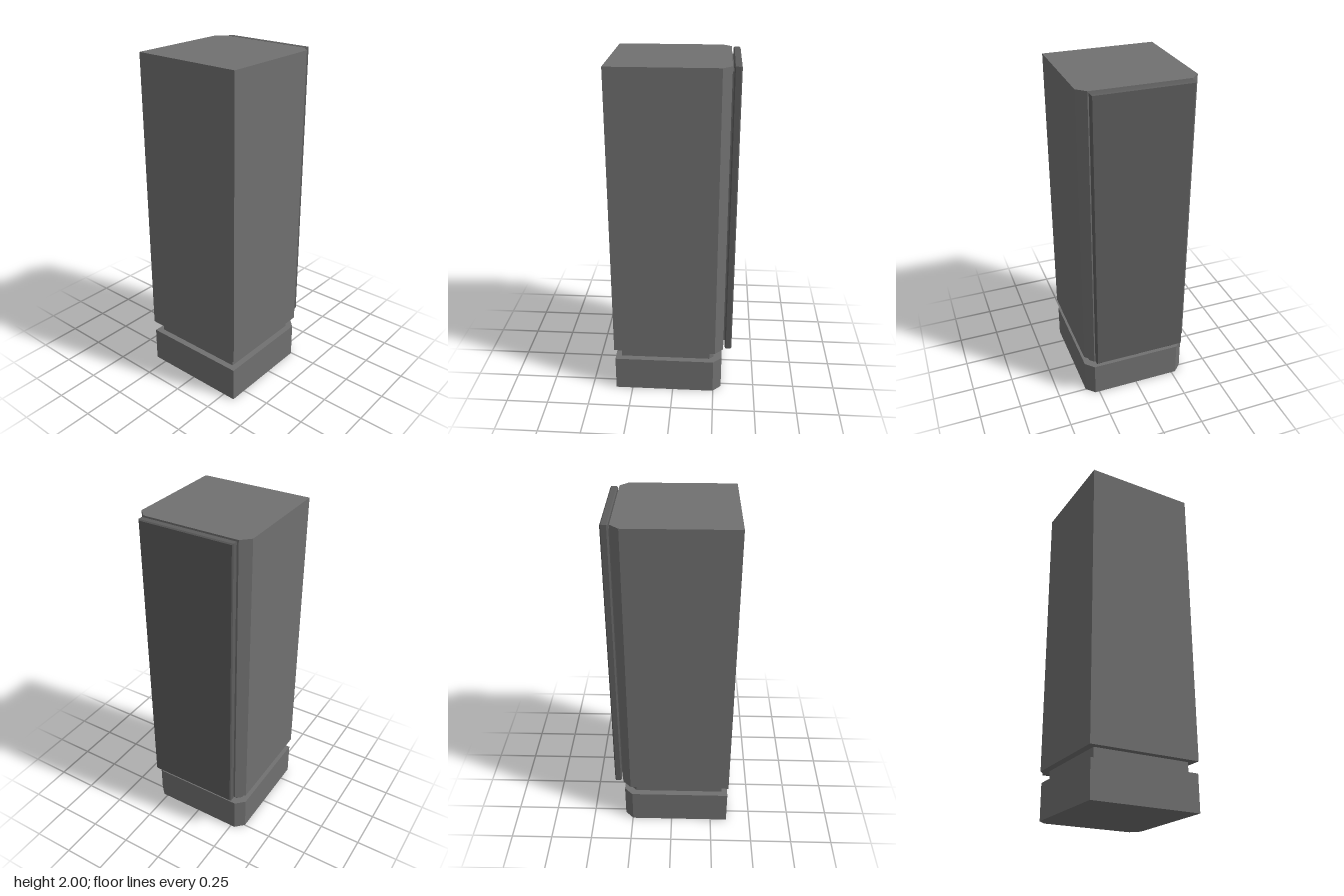
import * as THREE from 'three';

const stone = new THREE.MeshStandardMaterial({ color: 0x707070, flatShading: true });
const cladding = new THREE.MeshStandardMaterial({ color: 0x5d5d5d, flatShading: true });

function addMesh(group, name, geometry, material) {
  const mesh = new THREE.Mesh(geometry, material);
  mesh.name = name;
  group.add(mesh);
  return mesh;
}

// Upright block with its two +x corners cut at 45 degrees
function chamferedBlock(x0, x1, halfZ, cut, y0, y1) {
  const shape = new THREE.Shape([
    [x0, -halfZ], [x1 - cut, -halfZ], [x1, -halfZ + cut],
    [x1, halfZ - cut], [x1 - cut, halfZ], [x0, halfZ],
  ].map(([x, z]) => new THREE.Vector2(x, z)));
  const geometry = new THREE.ExtrudeGeometry(shape, { depth: y1 - y0, bevelEnabled: false });
  return geometry.rotateX(-Math.PI / 2).translate(0, y0, 0);
}

// Thin slab facing +x with every edge bevelled
function bevelledSlab(x0, x1, halfZ, y0, y1, bevel) {
  const z = halfZ - bevel, lo = y0 + bevel, hi = y1 - bevel;
  const shape = new THREE.Shape([
    new THREE.Vector2(-z, lo), new THREE.Vector2(z, lo),
    new THREE.Vector2(z, hi), new THREE.Vector2(-z, hi),
  ]);
  const geometry = new THREE.ExtrudeGeometry(shape, {
    depth: x1 - x0 - 2 * bevel, bevelSize: bevel, bevelThickness: bevel, bevelSegments: 1,
  });
  return geometry.rotateY(Math.PI / 2).translate(x0 + bevel, 0, 0);
}

export function createModel() {
  const group = new THREE.Group();
  group.name = 'pillar';

  // Plinth, recessed neck and tall shaft
  addMesh(group, 'base', chamferedBlock(-0.352, 0.298, 0.326, 0.05, 0, 0.213), stone);
  addMesh(group, 'neck', chamferedBlock(-0.315, 0.249, 0.289, 0.026, 0.21, 0.29), stone);
  addMesh(group, 'shaft', chamferedBlock(-0.356, 0.306, 0.331, 0.05, 0.28, 2), stone);

  // Darker panel held off the shaft by a smaller spacer
  const spacer = addMesh(group, 'panelSpacer', new THREE.BoxGeometry(0.025, 1.64, 0.486), cladding);
  spacer.position.set(0.307, 1.145, 0);
  addMesh(group, 'sidePanel', bevelledSlab(0.315, 0.356, 0.279, 0.287, 1.998, 0.006), cladding);

  return group;
}
